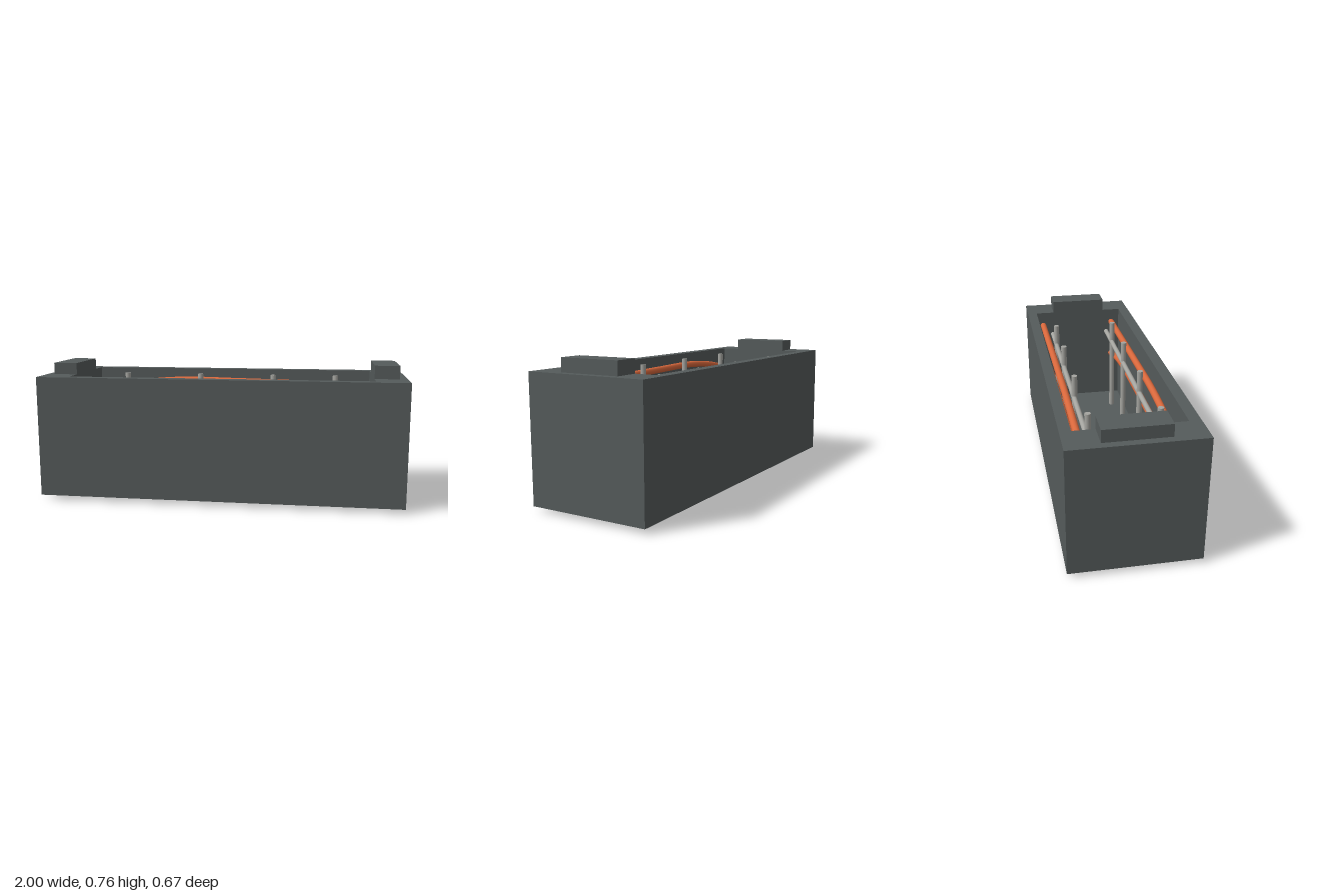
import * as THREE from 'three';

const dark = new THREE.MeshStandardMaterial({ color: 0x555b5b });
const steel = new THREE.MeshStandardMaterial({ color: 0xa5a5a0 });
const orange = new THREE.MeshStandardMaterial({ color: 0xd9683c });

// Box given by its min and max corners
function box([x0, y0, z0], [x1, y1, z1]) {
  return new THREE.BoxGeometry(x1 - x0, y1 - y0, z1 - z0)
    .translate((x0 + x1) / 2, (y0 + y1) / 2, (z0 + z1) / 2);
}

function rect(path, x0, y0, x1, y1) {
  path.moveTo(x0, y0).lineTo(x1, y0).lineTo(x1, y1).lineTo(x0, y1).closePath();
  return path;
}

export function createModel() {
  const model = new THREE.Group();
  const add = (name, geometry, material) => {
    const mesh = new THREE.Mesh(geometry, material);
    mesh.name = name;
    model.add(mesh);
    return mesh;
  };

  // Open-topped housing: walls around a long slot, closed by a floor
  const walls = rect(new THREE.Shape(), -1, -0.333, 1, 0.333);
  walls.holes.push(rect(new THREE.Path(), -0.828, -0.273, 0.825, 0.277));
  add('housingWalls',
    new THREE.ExtrudeGeometry(walls, { depth: 0.605, bevelEnabled: false })
      .rotateX(-Math.PI / 2).translate(0, 0.085, 0), dark);
  add('housingFloor', box([-1, 0.025, -0.333], [1, 0.085, 0.333]), dark);

  // Raised blocks on the two ends of the rim
  add('rightEndBlock', box([-0.96, 0.69, -0.165], [-0.828, 0.754, 0.165]), dark);
  add('leftEndBlock', box([0.825, 0.69, -0.165], [0.957, 0.761, 0.165]), dark);

  // Two racks: upright rods passing through the floor, joined by a long rail
  for (const [side, z] of [['front', 0.192], ['back', -0.17]]) {
    for (const x of [-0.626, -0.176, 0.26, 0.624]) {
      add(side + 'RackPost', new THREE.CylinderGeometry(0.016, 0.016, 0.668, 16), steel)
        .position.set(x, 0.334, z);
    }
    add(side + 'RackRail',
      new THREE.CylinderGeometry(0.014, 0.014, 1.655, 16).rotateZ(Math.PI / 2), steel)
      .position.set(-0.001, 0.54, z - 0.003);
  }

  // Hairpin heating elements, both ends set in the left end wall
  const hairpin = [
    [0.835, 0.604, 0], [0.07, 0.62, 0], [-0.33, 0.623, 0], [-0.6, 0.595, 0.004],
    [-0.74, 0.56, 0.01], [-0.785, 0.515, 0.012], [-0.74, 0.484, 0.008], [-0.46, 0.469, 0],
    [0.07, 0.472, -0.005], [0.46, 0.455, -0.005], [0.7, 0.41, -0.003], [0.835, 0.375, 0],
  ];
  for (const [side, z] of [['front', 0.224], ['back', -0.235]]) {
    const path = new THREE.CatmullRomCurve3(
      hairpin.map(([x, y, dz]) => new THREE.Vector3(x, y, z + dz)));
    add(side + 'HeatingElement', new THREE.TubeGeometry(path, 96, 0.019, 12), orange);
  }

  return model;
}
